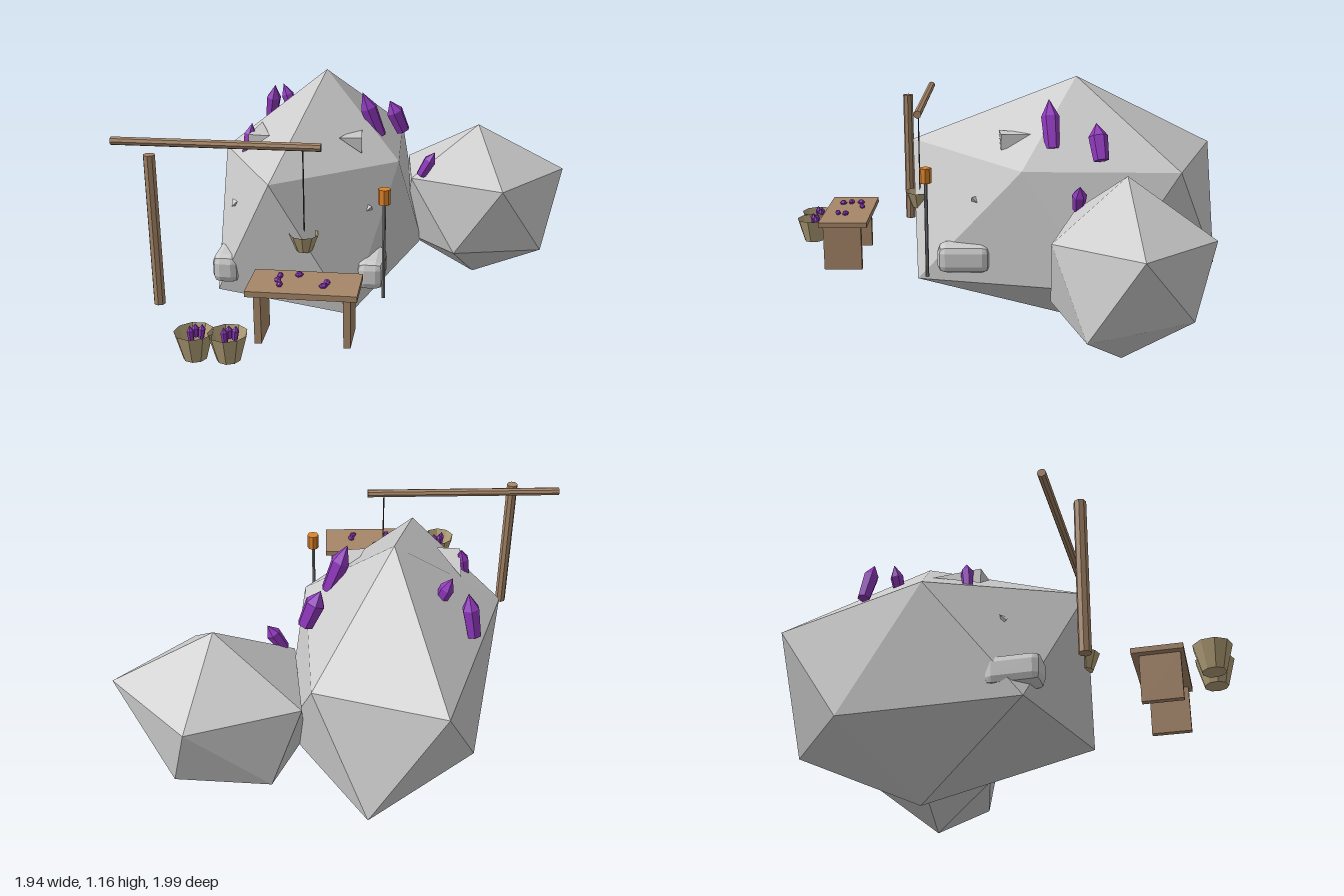
import * as THREE from 'three';
import { RoundedBoxGeometry } from 'three/addons/geometries/RoundedBoxGeometry.js';

const mat = (color, side = THREE.FrontSide) =>
  new THREE.MeshStandardMaterial({ color, side, flatShading: true });
const STONE = mat(0xcccccc);
const WOOD = mat(0xa68668);
const WICKER = mat(0xb5a27a, THREE.DoubleSide);
const CRYSTAL = mat(0x9038bd);
const METAL = mat(0x77777a);
const ROPE = mat(0x4a4038);
const LAMP = mat(0xdd842c);
const UP = new THREE.Vector3(0, 1, 0);

function add(parent, name, geometry, material, x = 0, y = 0, z = 0) {
  const mesh = new THREE.Mesh(geometry, material);
  mesh.name = name;
  mesh.position.set(x, y, z);
  parent.add(mesh);
  return mesh;
}

// Twenty-sided boulder from two poles and two staggered rings of five
function boulder(top, upper, lower, bottom) {
  const pos = [];
  for (let i = 0; i < 5; i++) {
    const j = (i + 1) % 5;
    pos.push(...top, ...upper[i], ...upper[j]);
    pos.push(...upper[i], ...lower[i], ...upper[j]);
    pos.push(...upper[j], ...lower[i], ...lower[j]);
    pos.push(...bottom, ...lower[j], ...lower[i]);
  }
  const g = new THREE.BufferGeometry();
  g.setAttribute('position', new THREE.Float32BufferAttribute(pos, 3));
  g.computeVertexNormals();
  return g;
}

// Hexagonal crystal with a pointed tip, running from base to tip
function addCrystal(parent, name, base, tip, r) {
  const a = new THREE.Vector3(...base), b = new THREE.Vector3(...tip);
  const len = a.distanceTo(b);
  const profile = [[0, 0], [r * 0.8, 0], [r, len * 0.65], [0, len]];
  const g = new THREE.LatheGeometry(profile.map(p => new THREE.Vector2(...p)), 6);
  const m = add(parent, name, g, CRYSTAL, ...base);
  m.quaternion.setFromUnitVectors(UP, b.sub(a).normalize());
}

// Small loose gem
function addGem(parent, x, y, z, turn) {
  const m = add(parent, 'gem', new THREE.CapsuleGeometry(0.012, 0.014, 1, 6), CRYSTAL, x, y, z);
  m.rotation.set(Math.PI / 2, 0, turn);
}

// Open faceted bucket standing on y
function addBucket(parent, name, x, y, z, rBottom, rTop, h) {
  const profile = [[0, 0], [rBottom, 0], [rTop, h]].map(p => new THREE.Vector2(...p));
  return add(parent, name, new THREE.LatheGeometry(profile, 9), WICKER, x, y, z);
}

// Four-cornered shard
function shard(a, b, c, d) {
  const g = new THREE.BufferGeometry();
  g.setAttribute('position', new THREE.Float32BufferAttribute(
    [a, b, c, a, c, d, a, d, b, b, d, c].flat(2), 3));
  g.computeVertexNormals();
  return g;
}

export function createModel() {
  const model = new THREE.Group();
  model.name = 'crystalMine';
  const ground = 0.315;

  // Boulders
  add(model, 'largeBoulder', boulder(
    [-0.17, 1.16, -0.35],
    [[-0.31, 0.84, 0.41], [0.19, 0.8, -0.1], [0.16, 0.79, -0.79], [-0.34, 0.825, -0.995], [-0.63, 0.81, -0.22]],
    [[0.02, 0.255, 0.37], [0.285, 0.29, -0.44], [-0.05, 0.315, -0.995], [-0.51, 0.3, -0.62], [-0.595, 0.263, 0.2]],
    [-0.17, 0, -0.35]), STONE);
  add(model, 'smallBoulder', boulder(
    [0.547, 0.872, -0.51],
    [[0.667, 0.63, -0.21], [0.965, 0.655, -0.535], [0.65, 0.64, -0.855], [0.2, 0.64, -0.72], [0.235, 0.645, -0.33]],
    [[0.865, 0.3, -0.34], [0.72, 0.33, -0.77], [0.33, 0.3, -0.78], [0.2, 0.3, -0.5], [0.45, 0.31, -0.22]],
    [0.547, 0.1, -0.51]), STONE);

  // Mirrored stones, ledges and chips on the face of the large boulder
  const ledgeMat = mat(0xcccccc, THREE.DoubleSide);
  for (const s of [1, -1]) {
    const mx = x => -0.225 + s * x;
    add(model, 'footStone', new RoundedBoxGeometry(0.12, 0.13, 0.235, 1, 0.035), STONE, mx(0.32), 0.385, 0.155);
    add(model, 'ledge', shard([mx(0.255), 0.86, -0.01], [mx(0.155), 0.93, 0],
      [mx(0.255), 0.93, -0.01], [mx(0.235), 0.93, -0.23]), ledgeMat);
    add(model, 'chip', new THREE.TetrahedronGeometry(0.025), STONE, mx(0.3), 0.645, 0.105);
  }

  // Crystals growing on the boulders: base, tip, radius
  const crystals = [
    [[0.09, 0.88, -0.235], [0.01, 1.085, -0.22], 0.04],
    [[0.185, 0.85, -0.44], [0.12, 1.0, -0.42], 0.042],
    [[0.28, 0.66, -0.34], [0.345, 0.775, -0.34], 0.031],
    [[-0.5, 0.83, -0.06], [-0.475, 0.965, -0.075], 0.028],
    [[-0.48, 0.86, -0.54], [-0.45, 1.04, -0.51], 0.036],
    [[-0.34, 0.92, -0.42], [-0.395, 1.065, -0.44], 0.03],
  ];
  for (const [base, tip, r] of crystals) addCrystal(model, 'crystal', base, tip, r);

  // Hoist: post, beam, rope and hanging bucket
  const hoist = new THREE.Group();
  hoist.name = 'hoist';
  model.add(hoist);
  add(hoist, 'post', new THREE.CylinderGeometry(0.025, 0.025, 0.66, 8), WOOD, -0.78, ground + 0.33, 0.477);
  add(hoist, 'beam', new THREE.CylinderGeometry(0.018, 0.018, 0.88, 8), WOOD, -0.535, 0.995, 0.368)
    .rotation.z = Math.PI / 2;
  add(hoist, 'rope', new THREE.CylinderGeometry(0.003, 0.003, 0.44, 5), ROPE, -0.17, 0.77, 0.37);
  addBucket(hoist, 'hangingBucket', -0.17, 0.545, 0.375, 0.033, 0.063, 0.075);

  // Work table with slab legs and loose gems
  const table = new THREE.Group();
  table.name = 'workTable';
  model.add(table);
  add(table, 'tableTop', new THREE.BoxGeometry(0.436, 0.024, 0.215), WOOD, -0.117, 0.532, 0.695);
  for (const x of [-0.29, 0.06])
    add(table, 'tableLeg', new THREE.BoxGeometry(0.028, 0.206, 0.17), WOOD, x, ground + 0.103, 0.703);
  [[-0.22, 0.655], [-0.147, 0.64], [-0.222, 0.7], [-0.208, 0.738], [-0.038, 0.735], [-0.028, 0.7]]
    .forEach(([x, z], i) => addGem(table, x, 0.552, z, i * 1.1));

  // Baskets filled with gems
  for (const x of [-0.505, -0.375]) {
    const basket = new THREE.Group();
    basket.name = 'basket';
    model.add(basket);
    addBucket(basket, 'basketShell', x, ground, 0.92, 0.047, 0.077, 0.11);
    [[-0.012, 0.0], [0.022, -0.018], [0.0, -0.02]].forEach(([dx, dz], i) => {
      const top = [x + dx * 1.3, 0.447, 0.92 + dz];
      addCrystal(basket, 'basketGem', [x + dx, 0.385 + i * 0.004, 0.92 + dz], top, 0.014);
    });
  }

  // Lantern on a pole
  const lantern = new THREE.Group();
  lantern.name = 'lantern';
  model.add(lantern);
  add(lantern, 'lanternPole', new THREE.CylinderGeometry(0.008, 0.008, 0.44, 6), METAL, 0.16, ground + 0.22, 0.315);
  add(lantern, 'lanternLight', new THREE.CylinderGeometry(0.026, 0.026, 0.066, 8), LAMP, 0.16, 0.777, 0.315);

  return model;
}
